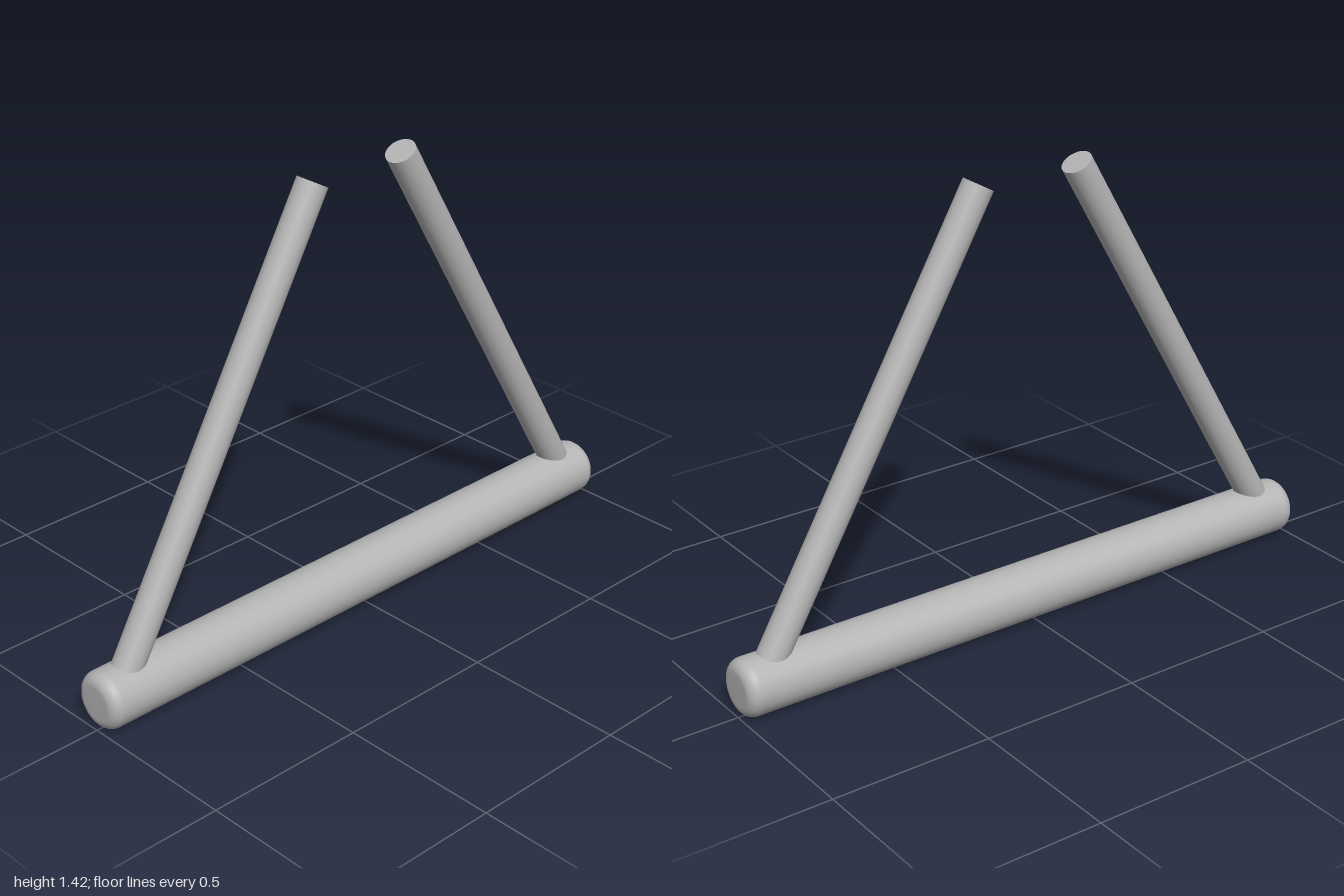
import * as THREE from 'three';

const BAR_RADIUS = 0.087, BAR_HALF = 1, BAR_Y = 0.09, FILLET = 0.037;
const ROD_RADIUS = 0.0465;

// Round bar along z with softened rims
function makeBar(material) {
  const profile = [new THREE.Vector2(0, -BAR_HALF)];
  for (const end of [-1, 1]) {
    for (let i = 0; i <= 6; i++) {
      const a = (end < 0 ? i - 6 : i) * Math.PI / 12;
      profile.push(new THREE.Vector2(
        BAR_RADIUS - FILLET + FILLET * Math.cos(a),
        end * (BAR_HALF - FILLET) + FILLET * Math.sin(a)));
    }
  }
  profile.push(new THREE.Vector2(0, BAR_HALF));
  const bar = new THREE.Mesh(new THREE.LatheGeometry(profile, 48), material);
  bar.rotation.x = Math.PI / 2;
  bar.position.y = BAR_Y;
  bar.name = 'baseBar';
  return bar;
}

// Straight rod between two points
function makeRod(name, from, to, material) {
  const dir = to.clone().sub(from);
  const rod = new THREE.Mesh(
    new THREE.CylinderGeometry(ROD_RADIUS, ROD_RADIUS, dir.length(), 40), material);
  rod.position.copy(from).add(to).multiplyScalar(0.5);
  rod.quaternion.setFromUnitVectors(new THREE.Vector3(0, 1, 0), dir.normalize());
  rod.name = name;
  return rod;
}

export function createModel() {
  const grey = new THREE.MeshStandardMaterial({ color: 0xb4b4b4 });
  grey.name = 'plain grey';

  const model = new THREE.Group();
  model.name = 'openTriangleFrame';
  model.add(makeBar(grey));

  // Two rods leaning towards each other, leaving a gap at the apex
  for (const [name, side] of [['frontRod', 1], ['backRod', -1]]) {
    model.add(makeRod(name,
      new THREE.Vector3(0, 0.1, 0.917 * side),
      new THREE.Vector3(0, 1.396, 0.169 * side), grey));
  }
  return model;
}
